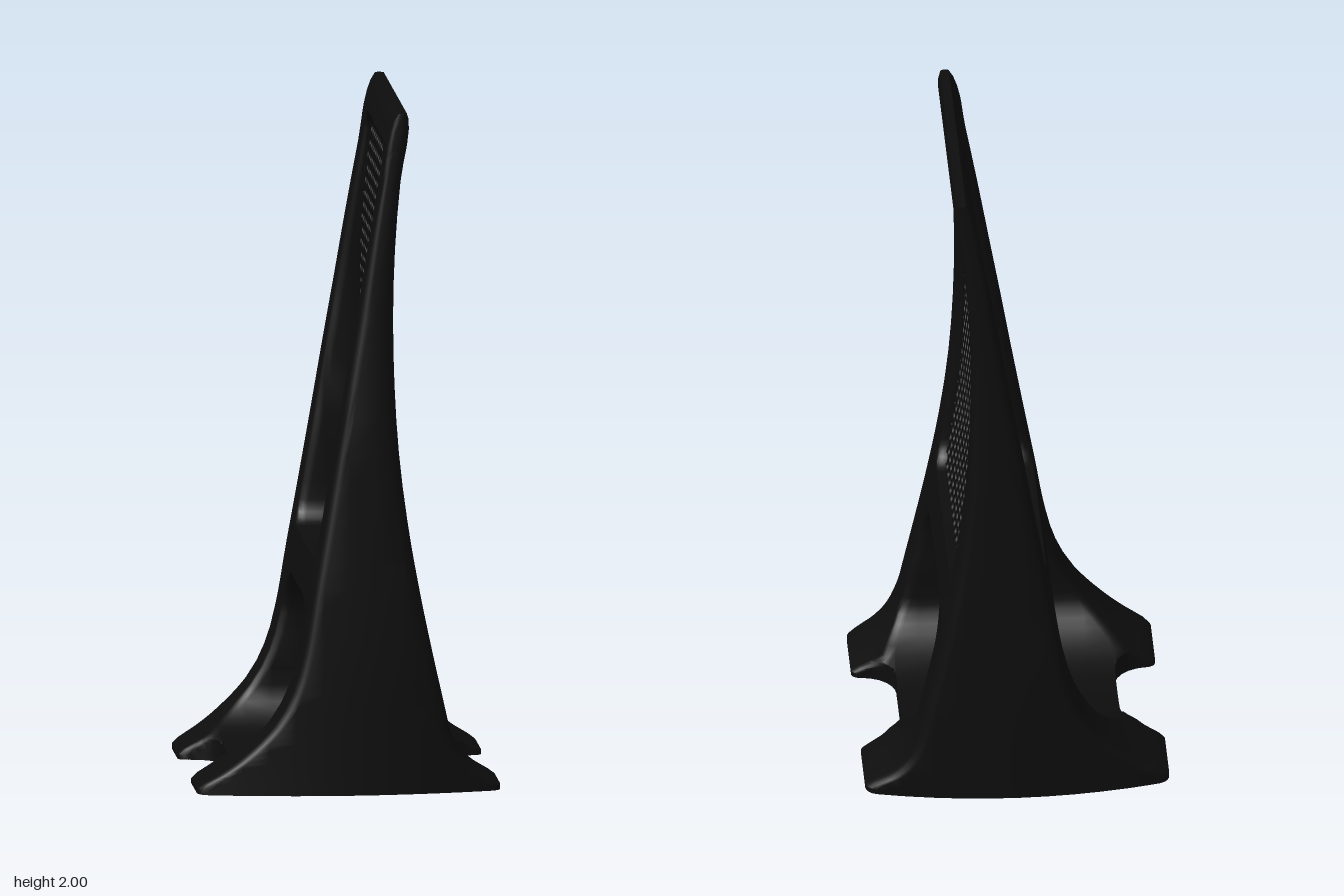
import * as THREE from 'three';
import { mergeGeometries, toCreasedNormals } from 'three/addons/utils/BufferGeometryUtils.js';

// Smooth curve of a value against height
function curve(ys, vs) {
  const c = new THREE.CubicInterpolant(ys, vs, 1, new Float32Array(1));
  return (y) => c.evaluate(y)[0];
}
const lowX = curve(
  [0, 0.015, 0.03, 0.06, 0.1, 0.2, 0.3, 0.4, 0.6, 0.8, 1, 1.2, 1.4, 1.6, 1.8, 1.975, 2],
  [-0.445, -0.445, -0.43, -0.38, -0.325, -0.225, -0.17, -0.141, -0.106, -0.071, -0.037, -0.004, 0.03, 0.064, 0.1, 0.133, 0.148]);
const highX = curve(
  [0, 0.015, 0.03, 0.06, 0.1, 0.17, 0.28, 0.4, 0.6, 0.8, 1, 1.2, 1.4, 1.6, 1.8, 1.98, 2],
  [0.445, 0.445, 0.425, 0.375, 0.335, 0.3, 0.273, 0.246, 0.205, 0.171, 0.147, 0.135, 0.132, 0.138, 0.155, 0.18, 0.174]);
const halfWidth = curve([0, 0.4, 1, 1.4, 2], [0.477, 0.467, 0.435, 0.411, 0.375]);

// Rows of [height, half-width of the opening]; zero means solid across
function bodyRows() {
  const rows = [[0, 0], [0.015, 0], [0.03, 0], [0.048, 0]];
  const arc = (n, f) => {
    for (let i = 0; i <= n; i++) rows.push(f((i / n) * Math.PI / 2));
  };
  arc(10, (a) => [0.048 + 0.152 * (1 - Math.cos(a)), 0.3 * Math.sin(a)]);
  for (const y of [0.25, 0.3, 0.35]) rows.push([y, 0.3]);
  arc(8, (a) => [0.41 + 0.14 * Math.sin(a), 0.16 + 0.14 * Math.cos(a)]);
  rows.push([0.55, 0], [0.61, 0], [0.675, 0]);
  arc(6, (a) => [0.675 + 0.07 * (1 - Math.cos(a)), 0.24 + 0.07 * Math.sin(a)]);
  for (let y = 0.8; y < 1.85; y += 0.1) {
    rows.push([y, 0.31 - 0.03 * Math.max(0, (y - 1.35) / 0.5) ** 1.3]);
  }
  arc(6, (a) => [1.85 + 0.06 * Math.sin(a), 0.21 + 0.069 * Math.cos(a)]);
  rows.push([1.91, 0], [1.95, 0], [1.98, 0], [2, 0]);
  return rows;
}

// Inner edge of the base feet, cut by the notch at each end
function notch(x) {
  const d = Math.abs(x) - 0.32;
  if (d <= 0) return 0;
  const t = Math.min(1, d / 0.1);
  return 0.1 + 0.09 * Math.sqrt(1 - (1 - t) ** 2);
}

// One row: outer edge and inner edge, sampled across x
function section([y, h]) {
  const lo = lowX(y), hi = highX(y), r = Math.min(0.03, (hi - lo) * 0.3);
  const ends = [0, 0.07, 0.25, 0.55, 1];
  const side = [0.41, 0.39, 0.365, 0.345, 0.33, 0.323, 0.3201, 0.3199];
  const mid = [-0.24, -0.16, -0.08, 0, 0.08, 0.16, 0.24];
  const inside = [...side.map((v) => -v), ...mid, ...[...side].reverse()]
    .map((x) => THREE.MathUtils.clamp(x, lo + r, hi - r));
  const xs = [...ends.map((e) => lo + e * r), ...inside, ...[...ends].reverse().map((e) => hi - e * r)];
  const outer = [], inner = [];
  for (const x of xs) {
    const d = Math.min(r, x - lo, hi - x);
    const round = r - Math.sqrt(Math.max(0, r * r - (r - d) ** 2));
    const zi = Math.max(h, notch(x));
    outer.push(new THREE.Vector3(x, y, halfWidth(y) - 0.055 * (x / 0.44) ** 2 - round));
    inner.push(new THREE.Vector3(x, y, zi > 0.02 ? zi + round * 0.7 : zi));
  }
  return { outer, inner, ring: [...outer, ...[...inner].reverse()] };
}

// Body: loft of the sections, mirrored across z
function bodyGeometry() {
  const pos = [];
  const e1 = new THREE.Vector3(), e2 = new THREE.Vector3();
  const tri = (a, b, c) => {
    if (Math.max(a.z, b.z, c.z) < 1e-6) return; // hidden seam
    if (e1.subVectors(b, a).cross(e2.subVectors(c, a)).length() < 1e-10) return;
    for (const p of [a, b, c]) pos.push(p.x, p.y, p.z);
    for (const p of [a, c, b]) pos.push(p.x, p.y, -p.z);
  };
  const quad = (a, b, c, d) => { tri(a, b, c); tri(a, c, d); };
  const secs = bodyRows().map(section);
  for (let j = 0; j < secs.length - 1; j++) {
    const p = secs[j].ring, q = secs[j + 1].ring, n = p.length;
    for (let k = 0; k < n; k++) {
      const m = (k + 1) % n;
      quad(p[k], p[m], q[m], q[k]);
    }
  }
  const bottom = secs[0], top = secs[secs.length - 1];
  for (let k = 0; k < top.outer.length - 1; k++) {
    quad(top.outer[k], top.outer[k + 1], top.inner[k + 1], top.inner[k]);
    quad(bottom.outer[k + 1], bottom.outer[k], bottom.inner[k], bottom.inner[k + 1]);
  }
  const g = new THREE.BufferGeometry();
  g.setAttribute('position', new THREE.Float32BufferAttribute(pos, 3));
  return toCreasedNormals(g, 0.6);
}

// Grille: staggered six-sided cells with round holes, bent to the body's curve
function grilleGeometry() {
  const pitch = 0.043, cell = new THREE.Shape(), hole = new THREE.Path();
  for (let i = 0; i < 6; i++) {
    const a = (i + 0.5) * Math.PI / 3, r = pitch / Math.sqrt(3);
    cell[i ? 'lineTo' : 'moveTo'](r * Math.cos(a), r * Math.sin(a));
  }
  cell.closePath();
  hole.absarc(0, 0, 0.018, 0, Math.PI * 2, true);
  cell.holes.push(hole);
  const unit = new THREE.ExtrudeGeometry(cell, { depth: 0.008, bevelEnabled: false, curveSegments: 12 });
  unit.rotateY(Math.PI / 2);
  const cells = [];
  const rowStep = pitch * Math.sqrt(3) / 2;
  for (let row = 0, y = 0.665; y < 1.93; row++, y += rowStep) {
    for (let i = -8; i <= 8; i++) {
      const z = (i + (row % 2) / 2) * pitch;
      if (Math.abs(z) < 0.328) cells.push(unit.clone().translate(0, y, z));
    }
  }
  const g = mergeGeometries(cells);
  const p = g.attributes.position;
  for (let i = 0; i < p.count; i++) p.setX(i, p.getX(i) + highX(p.getY(i)) - 0.034);
  g.computeVertexNormals();
  return g;
}

export function createModel() {
  const black = new THREE.MeshStandardMaterial({ color: 0x0d0d0d });
  black.name = 'black';
  const group = new THREE.Group();
  group.name = 'stand';
  const add = (name, geometry) => {
    const mesh = new THREE.Mesh(geometry, black);
    mesh.name = name;
    group.add(mesh);
  };
  add('body', bodyGeometry());
  add('grille', grilleGeometry());
  return group;
}
